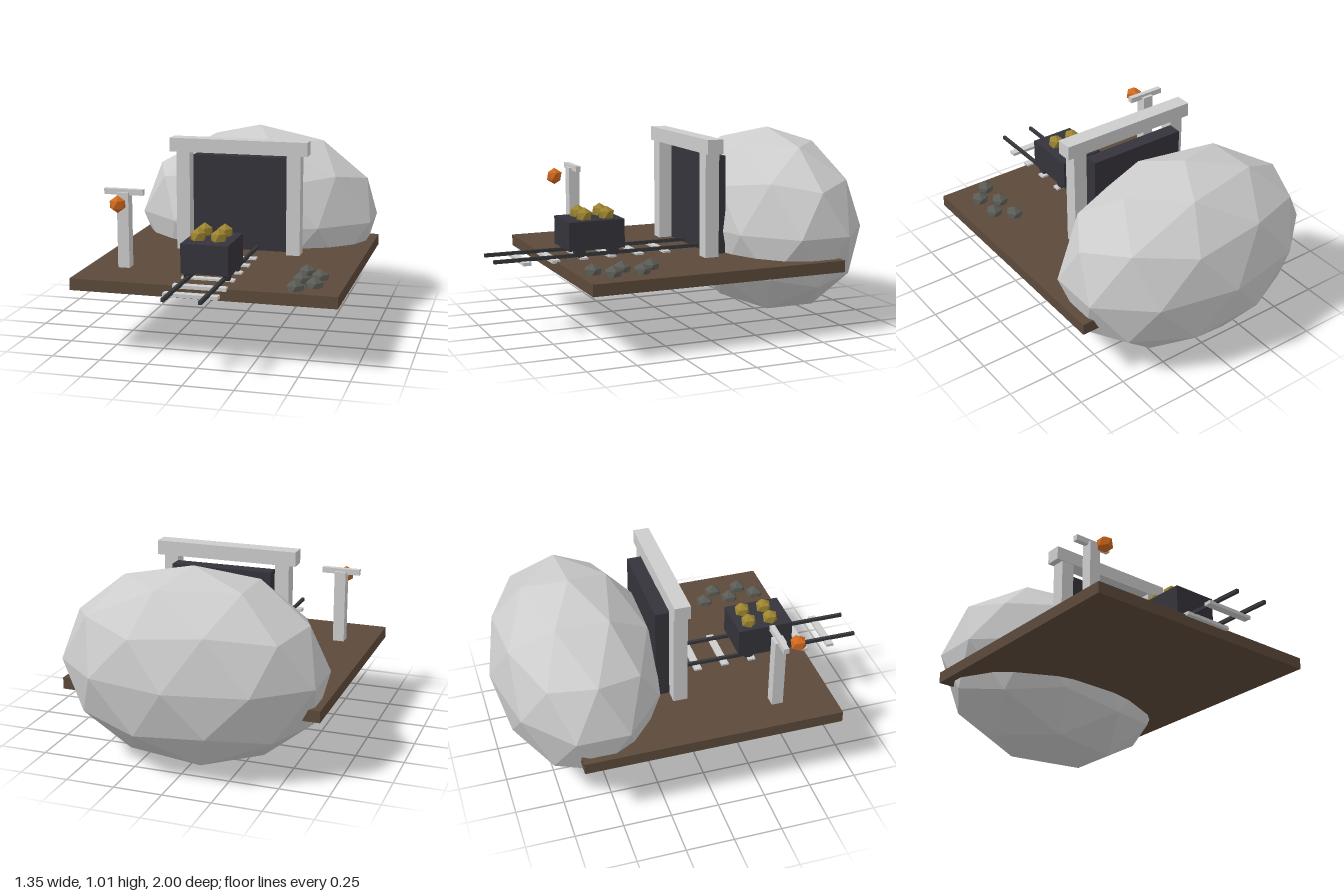
import * as THREE from 'three';

const mat = (name, color) => {
  const m = new THREE.MeshStandardMaterial({ color, flatShading: true });
  m.name = name;
  return m;
};

export function createModel() {
  const model = new THREE.Group();
  model.name = 'mineEntrance';

  const paleGrey = mat('paleGrey', 0xcccccc);
  const earth = mat('earthBrown', 0x5c4a3b);
  const dark = mat('darkIron', 0x35333b);
  const railSteel = mat('railSteel', 0x35373a);
  const gold = mat('gold', 0x9c8430);
  const coal = mat('coalGrey', 0x5b5b55);
  const orange = mat('lanternOrange', 0xd0691f);

  const add = (name, geometry, material, x, y, z) => {
    const mesh = new THREE.Mesh(geometry, material);
    mesh.name = name;
    mesh.position.set(x, y, z);
    model.add(mesh);
    return mesh;
  };
  // Box given by its minimum and maximum on each axis
  const box = (name, material, x0, x1, y0, y1, z0, z1) =>
    add(name, new THREE.BoxGeometry(x1 - x0, y1 - y0, z1 - z0), material,
      (x0 + x1) / 2, (y0 + y1) / 2, (z0 + z1) / 2);
  // Faceted ball with one corner pointing straight up
  const ball = (r, detail = 0) =>
    new THREE.IcosahedronGeometry(r, detail).rotateZ(-Math.atan(1 / ((1 + Math.sqrt(5)) / 2)));

  // Ground slab and the hill behind the tunnel
  box('groundSlab', earth, -0.673, 0.673, 0.33, 0.39, -0.665, 0.687);
  add('hill', ball(1, 1).scale(0.69, 0.505, 0.44), paleGrey, 0, 0.506, -0.56);

  // Tunnel mouth with its timber frame
  box('tunnelMouth', dark, -0.265, 0.265, 0.385, 0.9, -0.187, -0.112);
  for (const s of [-1, 1]) {
    const x = s * 0.302;
    box('framePost', paleGrey, x - 0.037, x + 0.037, 0.385, 0.925, -0.115, -0.04);
  }
  box('frameBeam', paleGrey, -0.375, 0.375, 0.924, 0.998, -0.12, -0.036);

  // Track
  for (const x of [-0.09, 0.09])
    box('rail', railSteel, x - 0.008, x + 0.008, 0.398, 0.416, -0.112, 1);
  for (let i = 0; i < 6; i++) {
    const z = 0.085 + i * 0.151;
    box('sleeper', paleGrey, -0.135, 0.135, 0.383, 0.4, z - 0.02, z + 0.02);
  }

  // Mine cart with wheels and gold
  box('cartBody', dark, -0.12, 0.12, 0.434, 0.583, 0.315, 0.615);
  for (const x of [-0.1, 0.1])
    for (const z of [0.375, 0.555])
      add('cartWheel', new THREE.CylinderGeometry(0.03, 0.03, 0.03, 8).rotateZ(Math.PI / 2), dark, x, 0.424, z);
  for (const x of [-0.06, 0.045])
    for (const z of [0.387, 0.508])
      add('goldNugget', ball(0.044), gold, x, 0.6, z);

  // Pile of stones beside the track
  for (let i = 0; i < 5; i++)
    add('stone', ball(0.05), coal, i % 2 ? 0.53 : 0.45, 0.392, 0.31 + i * 0.075);

  // Lantern post
  box('lanternPost', paleGrey, -0.513, -0.452, 0.385, 0.78, 0.36, 0.42);
  box('lanternArm', paleGrey, -0.585, -0.379, 0.766, 0.796, 0.377, 0.405);
  add('lantern', ball(0.045), orange, -0.482, 0.736, 0.495);

  return model;
}
